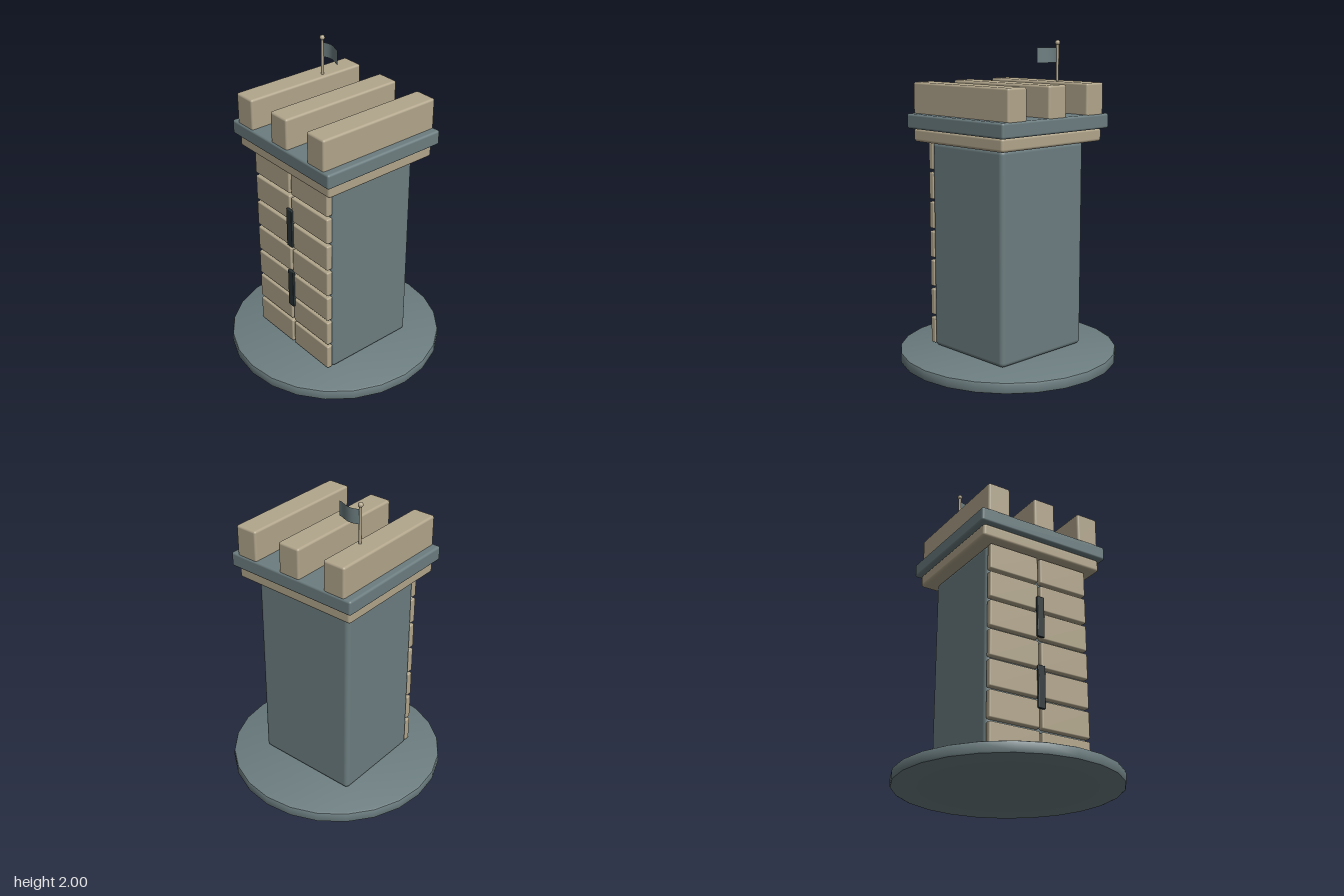
import * as THREE from 'three';
import { RoundedBoxGeometry } from 'three/addons/geometries/RoundedBoxGeometry.js';
import { toCreasedNormals } from 'three/addons/utils/BufferGeometryUtils.js';

function material(name, color, side = THREE.FrontSide) {
  const m = new THREE.MeshStandardMaterial({ color, side });
  m.name = name;
  return m;
}

export function createModel() {
  const tower = new THREE.Group();
  tower.name = 'tower';
  const slate = material('slate', 0x6c7d80, THREE.DoubleSide);
  const sandstone = material('sandstone', 0xb2a68c);
  const dark = material('dark slit', 0x2a3335);

  const add = (name, geometry, mat, parent = tower) => {
    const mesh = new THREE.Mesh(geometry, mat);
    mesh.name = name;
    parent.add(mesh);
    return mesh;
  };
  // Rounded block given by its extents on each axis
  const block = (name, mat, [x0, x1], [y0, y1], [z0, z1], radius, parent) => {
    const geometry = new RoundedBoxGeometry(x1 - x0, y1 - y0, z1 - z0, 3, radius);
    const mesh = add(name, geometry, mat, parent);
    mesh.position.set((x0 + x1) / 2, (y0 + y1) / 2, (z0 + z1) / 2);
    return mesh;
  };

  // Round ground slab with a softened rim
  const rim = [[0, 0], [0.675, 0], [0.686, 0.005], [0.69, 0.016],
    [0.69, 0.056], [0.686, 0.068], [0.675, 0.073], [0, 0.073]];
  const slab = new THREE.LatheGeometry(rim.map(([r, y]) => new THREE.Vector2(r, y)), 24);
  add('base', toCreasedNormals(slab, 0.6), slate);

  // Main shaft
  block('shaft', slate, [-0.35, 0.35], [0.073, 1.385], [-0.315, 0.313], 0.03);

  // Front facing stones, two columns of seven
  const stones = new THREE.Group();
  stones.name = 'facingStones';
  tower.add(stones);
  for (let row = 0; row < 7; row++) {
    const y = 0.085 + row * 0.187;
    for (const side of [-1, 1]) {
      const xs = side < 0 ? [-0.347, -0.008] : [0.008, 0.347];
      block('facingStone', sandstone, xs, [y, y + 0.17], [0.308, 0.35], 0.01, stones);
    }
  }

  // Arrow slits
  for (const [y0, y1] of [[0.39, 0.657], [0.84, 1.105]]) {
    block('arrowSlit', dark, [-0.025, 0.025], [y0, y1], [0.344, 0.364], 0.005);
  }

  // Corbel and parapet deck
  block('corbel', sandstone, [-0.425, 0.425], [1.383, 1.466], [-0.395, 0.398], 0.018);
  block('deck', slate, [-0.454, 0.454], [1.464, 1.556], [-0.428, 0.428], 0.014);

  // Long battlements running front to back
  for (const x of [-0.33, 0, 0.33]) {
    block('battlement', sandstone, [x - 0.075, x + 0.075], [1.545, 1.747], [-0.422, 0.42], 0.014);
  }

  // Flagpole with ball finial
  const flag = new THREE.Group();
  flag.name = 'flag';
  flag.position.set(-0.29, 0, -0.142);
  tower.add(flag);
  add('pole', new THREE.CylinderGeometry(0.009, 0.009, 0.25, 12), sandstone, flag).position.y = 1.86;
  add('finial', new THREE.SphereGeometry(0.016, 16, 10), sandstone, flag).position.y = 1.984;

  // Waving cloth
  const cloth = new THREE.PlaneGeometry(0.158, 0.092, 12, 1);
  cloth.translate(0.085, 1.909, 0);
  const p = cloth.attributes.position;
  for (let i = 0; i < p.count; i++) {
    const t = (p.getX(i) - 0.006) / 0.158;
    p.setZ(i, -0.015 * Math.sin(t * Math.PI * 1.4) + 0.002 * t);
  }
  cloth.computeVertexNormals();
  add('cloth', cloth, slate, flag);

  return tower;
}
